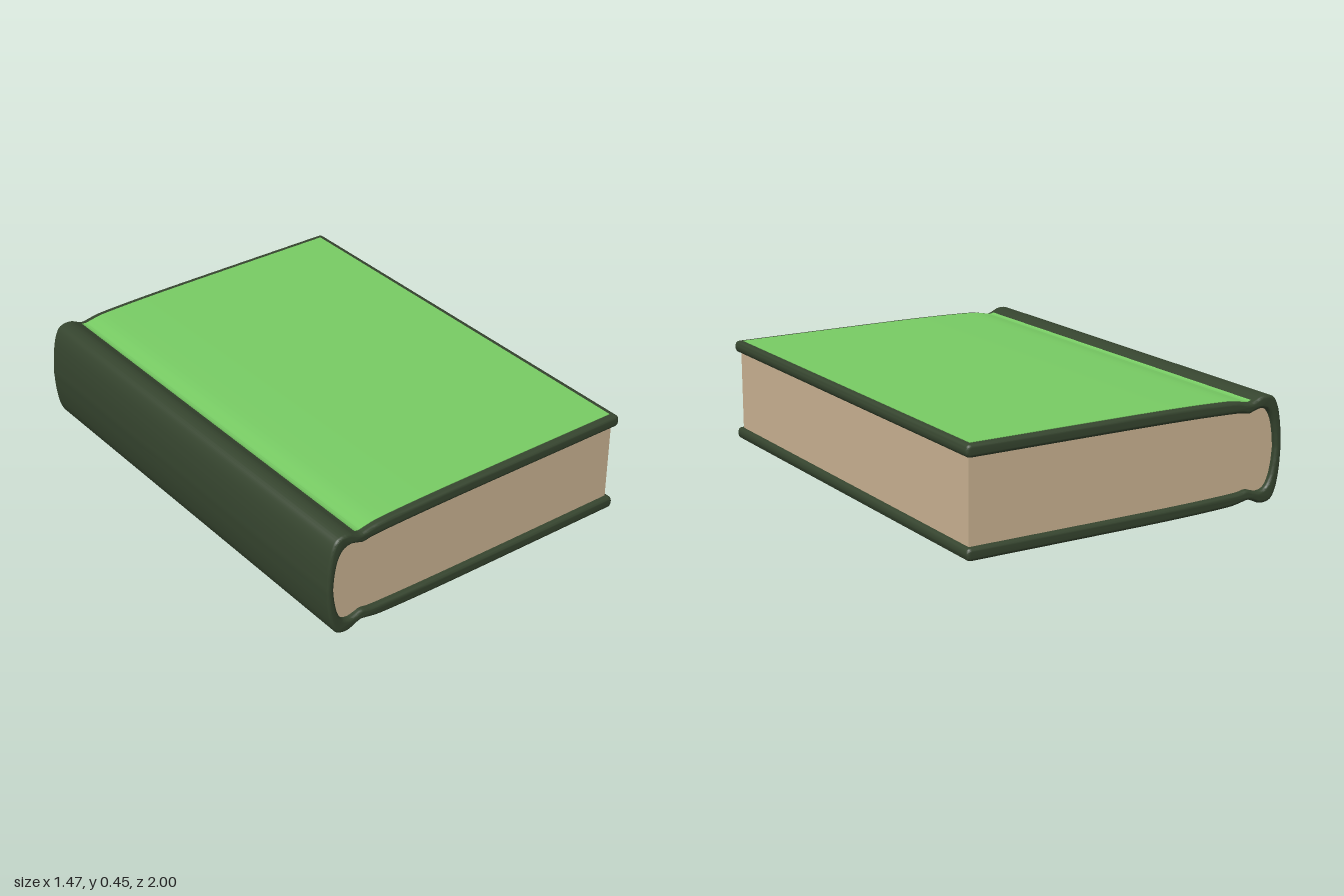
import * as THREE from 'three';
import { toCreasedNormals } from 'three/addons/utils/BufferGeometryUtils.js';

const MID = 0.225; // height of the mirror line between the two boards

// Upper halves of the outside and inside of the cover, from spine to fore edge
const OUTER = [[-0.736, MID], [-0.729, 0.32], [-0.712, 0.4], [-0.69, 0.437], [-0.66, 0.448],
  [-0.63, 0.446], [-0.6, 0.433], [-0.575, 0.425], [-0.55, 0.429], [-0.5, 0.438],
  [-0.4, 0.443], [-0.2, 0.447], [0, 0.448], [0.715, 0.448]];
const INNER = [[-0.705, MID], [-0.698, 0.29], [-0.683, 0.35], [-0.66, 0.386], [-0.63, 0.397],
  [-0.6, 0.392], [-0.57, 0.383], [-0.53, 0.389], [-0.4, 0.394], [-0.2, 0.397],
  [0, 0.398], [0.715, 0.398]];

const smooth = (pts) => new THREE.CatmullRomCurve3(pts.map(([x, y]) => new THREE.Vector3(x, y, 0)))
  .getPoints(78).map((p) => new THREE.Vector2(p.x, p.y));
const flip = (p) => new THREE.Vector2(p.x, 2 * MID - p.y);

// Joins an upper half with its mirror image: top fore edge, round the spine, bottom fore edge
const mirrored = (half) => [...half.slice(1).reverse(), ...half.map(flip)];

// Extrudes an outline along z, centred, with an optional rounded rim
function slab(name, points, length, color, bevel = 0) {
  const geo = new THREE.ExtrudeGeometry(new THREE.Shape(points), {
    depth: length - 2 * bevel, bevelEnabled: bevel > 0, bevelSize: bevel,
    bevelThickness: bevel, bevelOffset: -bevel, bevelSegments: 4,
  });
  geo.translate(0, 0, bevel - length / 2);
  const mesh = new THREE.Mesh(toCreasedNormals(geo, 0.7), new THREE.MeshStandardMaterial({ color }));
  mesh.name = name;
  return mesh;
}

export function createModel() {
  const book = new THREE.Group();
  book.name = 'book';
  const outer = smooth(OUTER);
  const inner = smooth(INNER);

  // Cover: boards and spine in one piece, with rounded free edges
  const edge = [];
  for (let i = 1; i < 10; i++) {
    const a = Math.PI / 2 - (i * Math.PI) / 10;
    edge.push(new THREE.Vector2(0.715 + 0.021 * Math.cos(a) ** 0.7, 0.423 + 0.025 * Math.sin(a)));
  }
  const outline = [...mirrored(outer), ...edge.map(flip),
    ...mirrored(inner).reverse(), ...edge.slice().reverse()];
  book.add(slab('cover', outline, 2, 0x36452f, 0.013));

  // Page block
  book.add(slab('pages', mirrored(inner), 1.95, 0xcdb594));

  // Coloured panels lying on both boards
  const top = outer.filter((p) => p.x > -0.592 && p.x < 0.7);
  top.push(new THREE.Vector2(0.706, 0.448));
  const raise = (d) => top.map((p) => new THREE.Vector2(p.x, p.y + d));
  const panel = [...raise(-0.004), ...raise(0.002).reverse()];
  book.add(slab('topPanel', panel, 1.94, 0x78cc64));
  book.add(slab('bottomPanel', panel.map(flip).reverse(), 1.94, 0x78cc64));

  return book;
}
